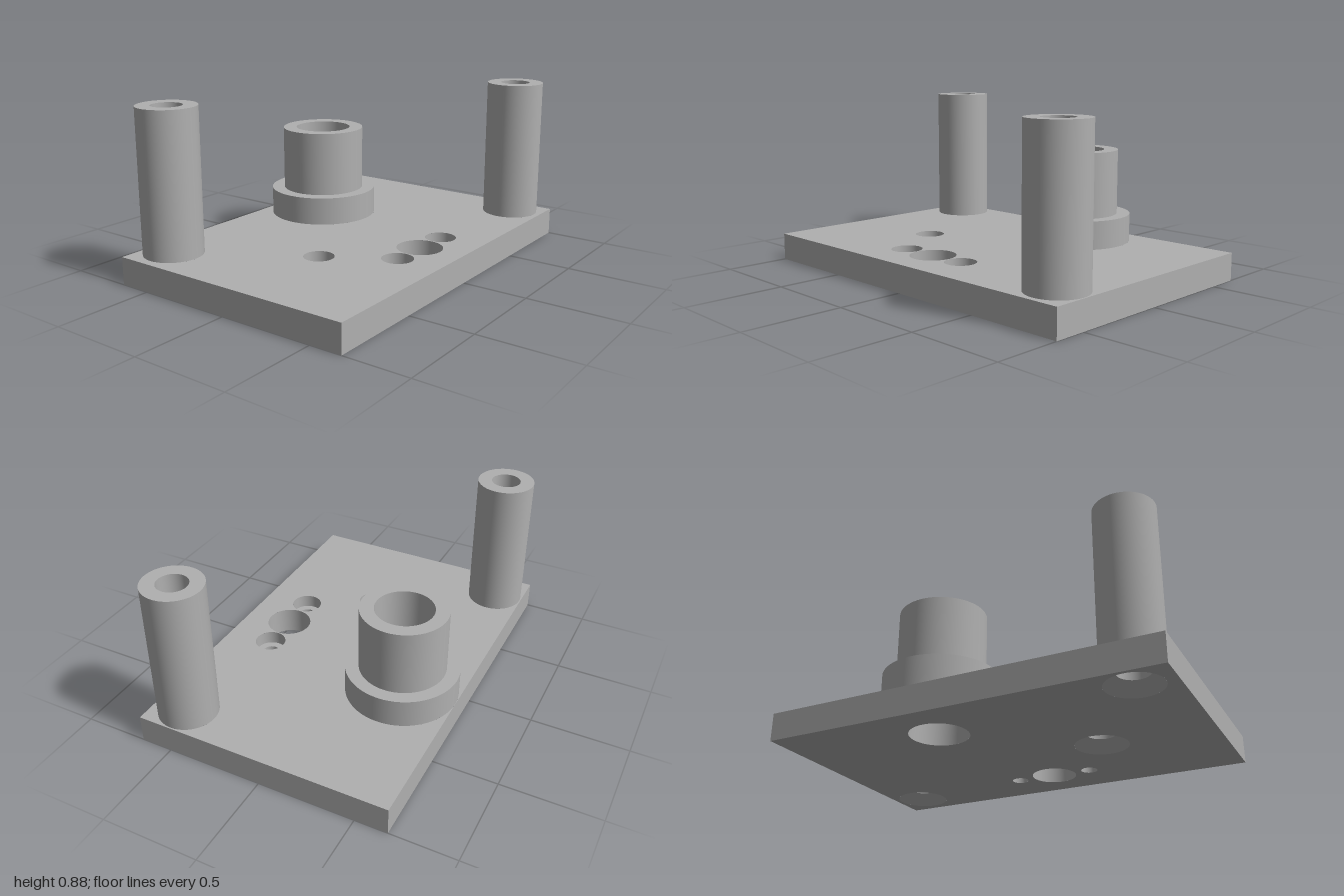
import * as THREE from 'three';
import { mergeGeometries } from 'three/addons/utils/BufferGeometryUtils.js';

const W = 1.332, D = 2, T = 0.143, SEG = 64;

// Each feature: centre and a profile [radius, y] running from the plate's top face,
// over the feature and down through its hole to the underside.
const post = [[0.15, T], [0.15, 0.88], [0.077, 0.88], [0.077, 0.06], [0.137, 0]];
const boss = [[0.288, T], [0.288, 0.29], [0.22, 0.29], [0.22, 0.63], [0.148, 0.63], [0.148, 0]];
const screwHole = [[0.08, T], [0.08, 0.073], [0.043, 0.073], [0.043, 0]];
const features = [
  { name: 'frontPost', x: -0.51, z: 0.807, profile: post },
  { name: 'backPost', x: 0.488, z: -0.843, profile: post },
  { name: 'steppedBoss', x: -0.377, z: -0.22, profile: boss },
  { name: 'roundHole', x: 0.425, z: 0.025, profile: [[0.117, T], [0.117, 0]] },
  { name: 'backScrewHole', x: 0.425, z: -0.177, profile: screwHole },
  { name: 'frontScrewHole', x: 0.425, z: 0.227, profile: screwHole },
  { name: 'countersunkHole', x: 0.098, z: 0.426, profile: [[0.077, T], [0.077, 0.06], [0.137, 0]] },
];

// Lathe made one band at a time so that every edge stays sharp
function turned(profile) {
  const bands = [];
  for (let i = 0; i < profile.length - 1; i++) {
    const pts = [profile[i], profile[i + 1]].map(([r, y]) => new THREE.Vector2(r, y));
    bands.push(new THREE.LatheGeometry(pts, SEG));
  }
  return mergeGeometries(bands);
}

// Flat plate face pierced by every feature; side is 1 for the top, -1 for the underside
function plateFace(side) {
  const w = W / 2, d = D / 2;
  const shape = new THREE.Shape();
  shape.moveTo(-w, -d).lineTo(w, -d).lineTo(w, d).lineTo(-w, d).closePath();
  for (const { x, z, profile } of features) {
    const r = side > 0 ? profile[0][0] : profile[profile.length - 1][0];
    shape.holes.push(new THREE.Path().absarc(x, -side * z, r, 0, Math.PI * 2, true));
  }
  const geo = new THREE.ShapeGeometry(shape, SEG);
  geo.rotateX(-side * Math.PI / 2);
  if (side > 0) geo.translate(0, T, 0);
  return geo;
}

export function createModel() {
  const model = new THREE.Group();
  model.name = 'mountingPlate';
  const grey = new THREE.MeshStandardMaterial({ color: 0xb0b0b0 });
  grey.name = 'grey';

  const add = (name, geo, x = 0, z = 0) => {
    const mesh = new THREE.Mesh(geo, grey);
    mesh.name = name;
    mesh.position.set(x, 0, z);
    model.add(mesh);
  };

  // Plate: pierced faces plus the four side walls of a box
  const walls = new THREE.BoxGeometry(W, T, D).translate(0, T / 2, 0);
  const index = Array.from(walls.index.array);
  walls.setIndex([...index.slice(0, 12), ...index.slice(24)]);
  walls.clearGroups();
  add('plateSides', walls);
  add('plateTop', plateFace(1));
  add('plateUnderside', plateFace(-1));

  // Posts, boss and holes
  for (const f of features) add(f.name, turned(f.profile), f.x, f.z);
  return model;
}
